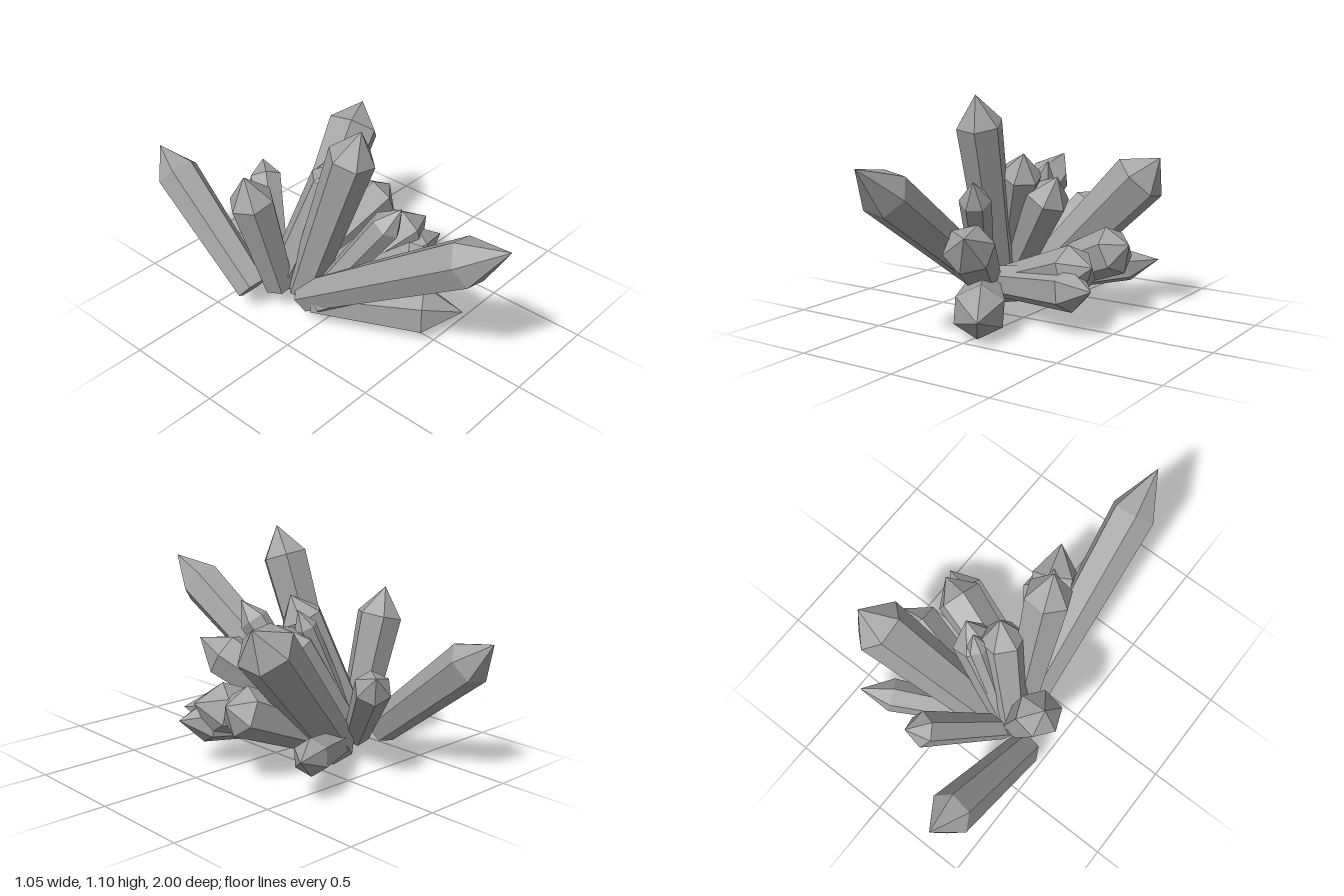
import * as THREE from 'three';

// Each crystal: base point, tip point, shoulder radius, length of the pointed end, twist,
// and, where it differs from the rest, the base radius as a share of the shoulder radius
const crystals = [
  ['tallCrystal', [-0.24, 0.12, -0.14], [-0.16, 1.09, 0.17], 0.115, 0.15, 0.4],
  ['longFrontCrystal', [-0.26, 0.11, -0.1], [-0.17, 0.84, 1.0], 0.117, 0.24, 0.4],
  ['leftUprightCrystal', [-0.3, 0.13, -0.25], [-0.465, 0.81, -0.28], 0.112, 0.14, 0.4],
  ['longBackCrystal', [-0.405, 0.12, -0.33], [-0.38, 0.67, -1.0], 0.11, 0.17, 0.3, 0.78],
  ['wideSideCrystal', [-0.14, 0.07, -0.28], [0.515, 0.775, -0.42], 0.14, 0.14, 0.0],
  ['lowFrontCrystal', [-0.27, 0.12, -0.05], [0.13, 0.125, 0.57], 0.13, 0.19, 0.5, 0.6],
  ['middleFrontCrystal', [-0.25, 0.13, -0.02], [0.04, 0.49, 0.54], 0.123, 0.16, 0.2],
  ['slimFrontCrystal', [-0.26, 0.13, -0.03], [-0.06, 0.705, 0.33], 0.077, 0.12, 0.0],
  ['innerCrystal', [-0.24, 0.12, -0.25], [0.11, 0.685, -0.13], 0.113, 0.13, 0.4],
  ['innerTallCrystal', [-0.28, 0.13, -0.26], [-0.04, 0.795, -0.06], 0.11, 0.12, 0.3],
  ['innerSlimCrystal', [-0.25, 0.12, -0.28], [0.025, 0.75, -0.18], 0.055, 0.09, 0.0],
  ['backCrystal', [-0.26, 0.11, -0.3], [0.035, 0.53, -0.69], 0.088, 0.1, 0.4],
  ['lowBackCrystal', [-0.16, 0.09, -0.29], [0.42, 0.22, -0.62], 0.085, 0.16, 0.1],
  ['sideCrystal', [-0.16, 0.1, -0.28], [0.475, 0.38, -0.19], 0.12, 0.09, 0.5],
  ['upperSideCrystal', [-0.2, 0.11, -0.1], [0.435, 0.32, 0.09], 0.125, 0.12, 0.3],
  ['lowSideCrystal', [-0.21, 0.14, -0.05], [0.47, 0.225, 0.16], 0.107, 0.14, 0.2],
];

const up = new THREE.Vector3(0, 1, 0);

// Six-sided tapered shaft with a pyramid point, aimed from base to tip
function makeCrystal([name, from, to, radius, point, twist, taper = 0.73], material) {
  const base = new THREE.Vector3(...from);
  const axis = new THREE.Vector3(...to).sub(base);
  const length = axis.length();
  const profile = [
    new THREE.Vector2(0, 0),
    new THREE.Vector2(radius * taper, 0),
    new THREE.Vector2(radius, length - point),
    new THREE.Vector2(0, length),
  ];
  const mesh = new THREE.Mesh(new THREE.LatheGeometry(profile, 6, twist), material);
  mesh.name = name;
  mesh.position.copy(base);
  mesh.quaternion.setFromUnitVectors(up, axis.normalize());
  return mesh;
}

export function createModel() {
  const group = new THREE.Group();
  group.name = 'crystalCluster';
  const material = new THREE.MeshStandardMaterial({ color: 0xa3a3a3, flatShading: true });
  for (const crystal of crystals) group.add(makeCrystal(crystal, material));
  return group;
}
